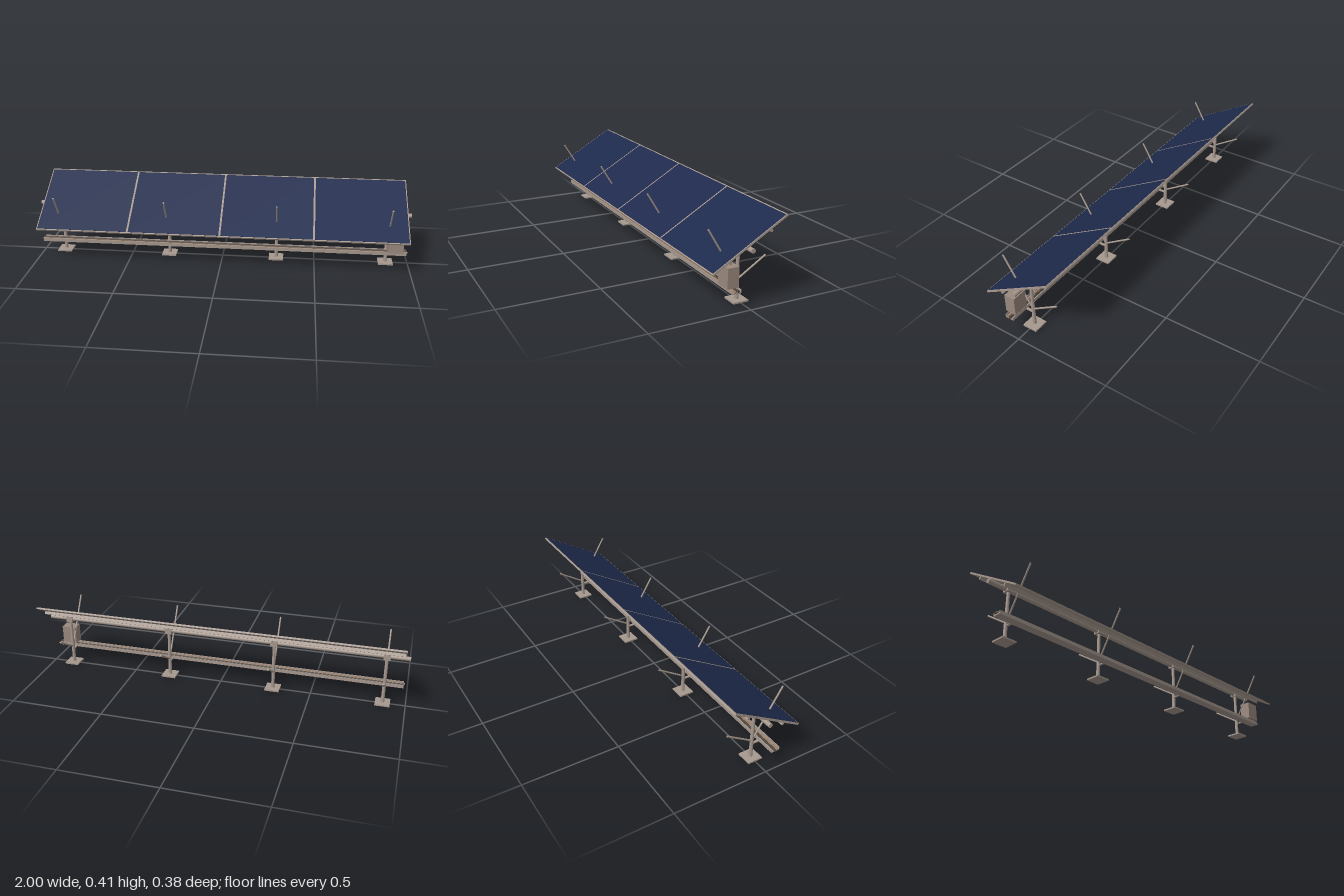
import * as THREE from 'three';

export function createModel() {
  const model = new THREE.Group();
  const mat = (name, color) => {
    const m = new THREE.MeshStandardMaterial({ color });
    m.name = name;
    return m;
  };
  const steel = mat('galvanised steel', 0xa6988e);
  const cabinetPaint = mat('cabinet paint', 0x9a897d);
  const glass = mat('solar glass', 0x1e2a4c);
  const copper = mat('tan cable', 0x9a7b62);
  const rubber = mat('dark cable', 0x4a443f);

  const add = (parent, name, geometry, material, x = 0, y = 0, z = 0) => {
    const mesh = new THREE.Mesh(geometry, material);
    mesh.name = name;
    mesh.position.set(x, y, z);
    parent.add(mesh);
    return mesh;
  };
  const box = (parent, name, w, h, d, material, x, y, z) =>
    add(parent, name, new THREE.BoxGeometry(w, h, d), material, x, y, z);
  // Round bar between two points
  const bar = (parent, name, a, b, radius, material, sides = 16) => {
    const from = new THREE.Vector3(...a), to = new THREE.Vector3(...b);
    const dir = to.clone().sub(from);
    const mesh = add(parent, name, new THREE.CylinderGeometry(radius, radius, dir.length(), sides), material);
    mesh.position.copy(from).add(to).multiplyScalar(0.5);
    mesh.quaternion.setFromUnitVectors(new THREE.Vector3(0, 1, 0), dir.normalize());
    return mesh;
  };

  // Tilted panel array: frame slab, glass faces and purlins
  const array = new THREE.Group();
  array.name = 'panelArray';
  array.position.y = 0.297;
  array.rotation.x = Math.PI / 6;
  model.add(array);
  for (let i = 0; i < 4; i++) {
    const x = -0.735 + i * 0.49;
    box(array, 'panelFrame', 0.49, 0.009, 0.431, steel, x, 0, 0);
    box(array, 'panelGlass', 0.48, 0.001, 0.419, glass, x, 0.0048, 0);
  }
  for (const z of [-0.117, 0.117]) box(array, 'purlin', 1.95, 0.016, 0.011, steel, 0, -0.0122, z);

  // Torque tube
  bar(model, 'torqueTube', [-1, 0.275, 0], [1, 0.275, 0], 0.0115, steel, 20);

  // Support posts with footing, bearing, braces and tray bracket
  for (const x of [-0.882, -0.294, 0.294, 0.882]) {
    const support = new THREE.Group();
    support.name = 'support';
    support.position.x = x;
    model.add(support);
    box(support, 'basePlate', 0.078, 0.008, 0.078, steel, 0, 0.004, 0);
    add(support, 'post', new THREE.CylinderGeometry(0.0082, 0.0095, 0.254, 20), steel, 0, 0.135, 0);
    box(support, 'bearingBlock', 0.036, 0.03, 0.038, steel, 0, 0.275, 0);
    bar(support, 'frontBrace', [0, 0.1, 0], [0, 0.358, 0.155], 0.0045, steel, 12);
    bar(support, 'rearBrace', [0, 0.1, 0], [0, 0.192, -0.147], 0.0045, steel, 12);
    box(support, 'trayBracket', 0.012, 0.006, 0.06, steel, 0, 0.083, 0.03);
  }

  // Cable tray with its side walls and two cables
  const tray = new THREE.Group();
  tray.name = 'cableTray';
  model.add(tray);
  box(tray, 'trayFloor', 1.96, 0.007, 0.046, steel, 0, 0.0835, 0.063);
  for (const z of [0.0415, 0.0845]) box(tray, 'trayWall', 1.96, 0.018, 0.003, steel, 0, 0.089, z);
  bar(tray, 'tanCable', [-0.985, 0.0915, 0.071], [0.985, 0.0915, 0.071], 0.0045, copper, 12);
  bar(tray, 'darkCable', [-0.985, 0.0925, 0.057], [0.985, 0.0925, 0.057], 0.0055, rubber, 12);

  // Electrical cabinet standing on the tray
  box(model, 'inverterCabinet', 0.08, 0.098, 0.058, cabinetPaint, 0.92, 0.148, 0.07);

  return model;
}
